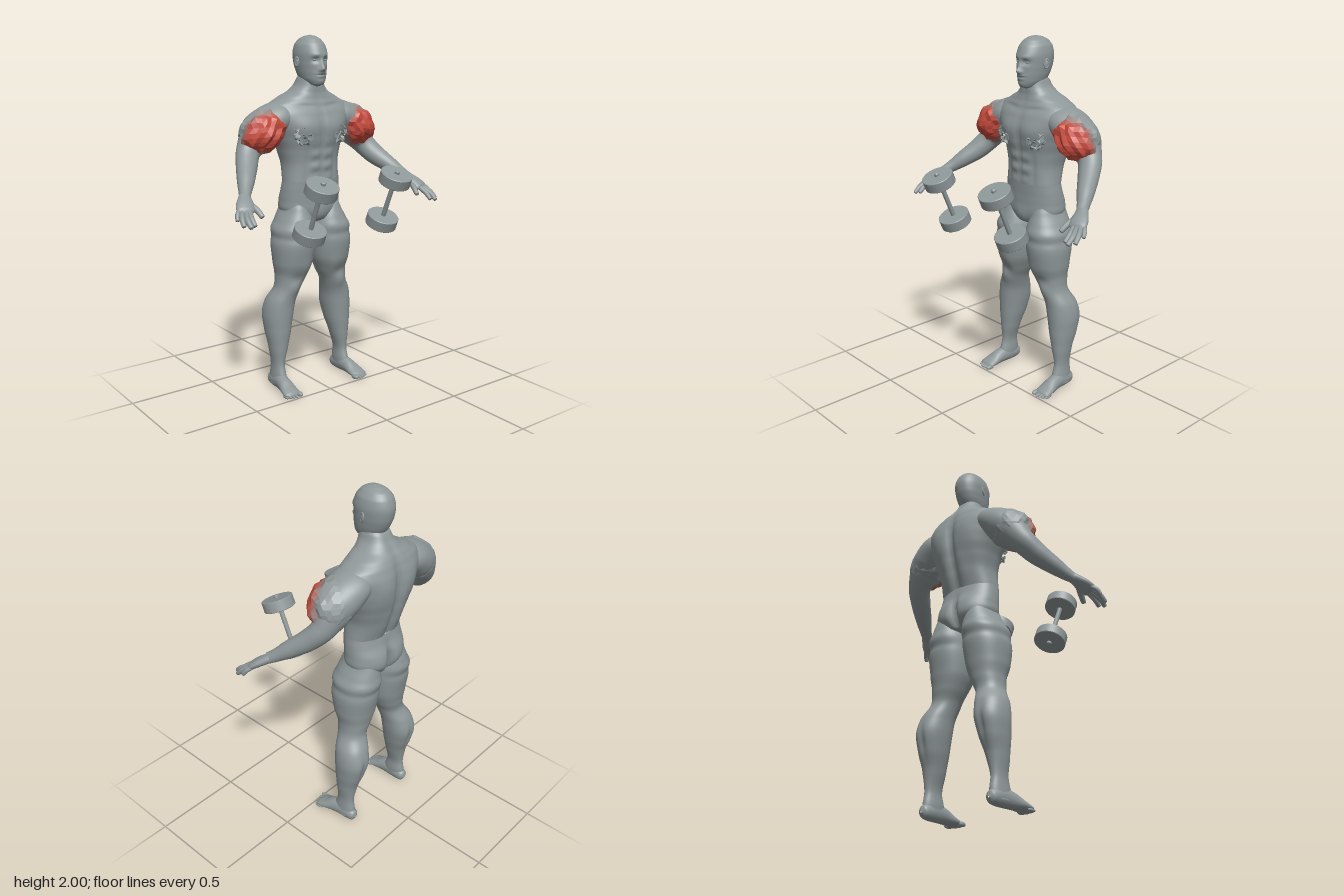
import * as THREE from 'three';
import { mergeGeometries, toCreasedNormals } from 'three/addons/utils/BufferGeometryUtils.js';

const V = (x, y, z) => new THREE.Vector3(x, y, z);
const gauss = (d, s) => Math.exp(-(d * d) / (2 * s * s));
const clay = new THREE.MeshStandardMaterial({ name: 'clay grey', color: 0x8f9899 });
const dusty = new THREE.MeshStandardMaterial({ name: 'dusty red', color: 0x9a7f7c });
const dull = new THREE.MeshStandardMaterial({ name: 'dull red', color: 0xb0655b });
const red = new THREE.MeshStandardMaterial({ name: 'muscle red', color: 0xc84c3e });

function seeded(s) {
  return () => (s = (s * 16807) % 2147483647) / 2147483647;
}

// Smooth skin over elliptical stations [x, y, z, a, b]; fixed rings lie flat (a along x, b along z)
function loft(stations, { side = null, rings = 48, segs = 32, power = 2, sculpt = null } = {}) {
  const path = new THREE.CatmullRomCurve3(stations.map(s => V(s[0], s[1], s[2])), false, 'centripetal');
  const radii = new THREE.CatmullRomCurve3(stations.map(s => V(s[3], s[4], 0)), false, 'catmullrom', 0.4);
  const pos = [], idx = [], bend = v => Math.sign(v) * Math.abs(v) ** (2 / power);
  for (let i = 0; i <= rings; i++) {
    const t = i / rings, c = path.getPoint(t), r = radii.getPoint(t);
    let s = V(1, 0, 0), o = V(0, 0, 1);
    if (side) {
      const tan = path.getTangent(t);
      s = side.clone().addScaledVector(tan, -side.dot(tan)).normalize();
      o = s.clone().cross(tan);
    }
    for (let j = 0; j < segs; j++) {
      const a = (j / segs) * Math.PI * 2;
      const p = c.clone().addScaledVector(s, bend(Math.cos(a)) * Math.max(r.x, 0.001))
        .addScaledVector(o, bend(Math.sin(a)) * Math.max(r.y, 0.001));
      if (sculpt) sculpt(p, Math.sin(a), Math.cos(a));
      pos.push(p.x, p.y, p.z);
      if (i < rings) {
        const k = (j + 1) % segs, q = i * segs;
        idx.push(q + j, q + segs + j, q + k, q + k, q + segs + j, q + segs + k);
      }
    }
  }
  const g = new THREE.BufferGeometry();
  g.setAttribute('position', new THREE.Float32BufferAttribute(pos, 3));
  g.setIndex(idx);
  g.computeVertexNormals();
  return g;
}

// Row [y, x0, x1, zBack, zFront] to station
const row = ([y, x0, x1, zb, zf]) => [(x0 + x1) / 2, y, (zb + zf) / 2, (x1 - x0) / 2, (zf - zb) / 2];
const midRow = ([y, w, zb, zf]) => row([y, -w, w, zb, zf]);

function mirrored(geo) {
  const g = geo.clone().scale(-1, 1, 1);
  const src = g.index ? Array.from(g.index.array) : Array.from({ length: g.attributes.position.count }, (_, i) => i);
  for (let i = 0; i < src.length; i += 3) [src[i + 1], src[i + 2]] = [src[i + 2], src[i + 1]];
  g.setIndex(src);
  return g;
}

// Swollen upper-arm muscle: crumpled facets, reddest on the outer front
function tornMuscle() {
  const g = new THREE.IcosahedronGeometry(1, 4), p = g.attributes.position, v = V(0, 0, 0);
  for (let i = 0; i < p.count; i++) {
    v.fromBufferAttribute(p, i);
    const n = Math.sin(v.x * 7 + v.y * 4) * Math.sin(v.y * 8 - v.z * 5) + 0.5 * Math.sin(v.z * 12 + v.x * 9 + v.y * 7);
    v.multiplyScalar(1 + n * (v.z > -0.2 ? 0.07 : 0.025));
    p.setXYZ(i, v.x, v.y, v.z);
  }
  const bins = [[], [], [], []];
  for (let i = 0; i < p.count; i += 3) {
    const mean = get => (get(i) + get(i + 1) + get(i + 2)) / 3;
    const f = 0.9 * mean(k => p.getZ(k)) + 0.28 * mean(k => p.getX(k));
    bins[f > 0.52 ? 3 : f > 0.36 ? 2 : f > 0.2 ? 1 : 0].push(i, i + 1, i + 2);
  }
  g.setIndex(bins.flat());
  let start = 0;
  g.clearGroups();
  bins.forEach((b, k) => { g.addGroup(start, b.length, k); start += b.length; });
  g.scale(0.143, 0.112, 0.122).rotateZ(-0.6).translate(0.305, 1.495, -0.203);
  const flat = g.toNonIndexed();
  flat.computeVertexNormals();
  return flat;
}

// Ragged shards on the chest
function chestShards() {
  const rnd = seeded(77), bits = [];
  for (let i = 0; i < 24; i++) {
    const a = rnd() * 6.28, r = 0.05 * Math.sqrt(rnd()), x = 0.128 + Math.cos(a) * r;
    bits.push(new THREE.TetrahedronGeometry(0.011 + rnd() * 0.01).rotateX(rnd() * 6).rotateY(rnd() * 6)
      .translate(x, 1.465 + Math.sin(a) * r, -0.058 - x * x * 1.2));
  }
  return mergeGeometries(bits);
}

export function createModel() {
  const model = new THREE.Group();
  const add = (name, geo, mat = clay) => {
    const m = new THREE.Mesh(geo, mat);
    m.name = name;
    model.add(m);
    return m;
  };
  const pair = (name, geo, mat = clay) => {
    add('left' + name, geo, mat);
    add('right' + name, mirrored(geo), mat);
  };

  // Torso and neck, with chest, stomach, spine and shoulder-blade relief
  const torso = [[1.205, .173, -.294, -.083], [1.3, .168, -.325, -.08], [1.38, .185, -.35, -.075], [1.45, .21, -.364, -.068],
    [1.52, .24, -.365, -.065], [1.58, .265, -.36, -.08], [1.63, .238, -.349, -.1], [1.665, .178, -.335, -.113],
    [1.7, .11, -.31, -.118], [1.735, .079, -.286, -.118], [1.765, .068, -.27, -.122], [1.79, .055, -.245, -.14]];
  add('torso', loft(torso.map(midRow), {
    rings: 90, segs: 96, power: 2.35, sculpt: (p, f) => {
      const x = Math.abs(p.x), y = p.y;
      if (f > 0) {
        p.z += f * (0.014 * gauss(x - 0.1, 0.055) * gauss(y - 1.49, 0.05) - 0.008 * gauss(x, 0.008) * gauss(y - 1.42, 0.16));
        const abs = gauss(y - 1.3, 0.07) * gauss(x - 0.04, 0.022);
        p.z += f * abs * 0.005 * Math.cos((y - 1.22) * 2 * Math.PI / 0.07) - f * 0.007 * gauss(x - 0.09, 0.012) * gauss(y - 1.29, 0.08);
        p.z -= f * 0.006 * gauss(y - 1.615 - x * 0.1, 0.01) * gauss(x - 0.1, 0.06);
      } else {
        p.z -= f * (0.026 * gauss(x, 0.016) * gauss(y - 1.42, 0.16));
        p.z += f * (0.016 * gauss(x - 0.1, 0.05) * gauss(y - 1.53, 0.07) + 0.008 * gauss(x - 0.06, 0.025) * gauss(y - 1.3, 0.07));
      }
    } }));

  // Pelvis with parted buttocks
  const pelvis = [[.955, .02, -.24, -.18], [.985, .1, -.3, -.11], [1.04, .18, -.325, -.09], [1.1, .184, -.325, -.087],
    [1.16, .18, -.305, -.085], [1.21, .174, -.294, -.082]];
  add('pelvis', loft(pelvis.map(midRow), {
    segs: 80, power: 2.3, sculpt: (p, f) => {
      const x = Math.abs(p.x);
      if (f < 0) p.z -= f * gauss(p.y - 1.04, 0.06) * (0.045 * gauss(x, 0.014) - 0.012 * gauss(x - 0.09, 0.05));
      else p.z += f * 0.008 * gauss(x, 0.03) * gauss(p.y - 1.02, 0.035);
    } }));

  // Head with brow, sockets, nose, lips and chin
  const head = [[1.726, .02, -.17, -.115], [1.738, .045, -.215, -.088], [1.77, .065, -.255, -.081], [1.81, .075, -.28, -.079],
    [1.85, .081, -.295, -.078], [1.9, .084, -.302, -.077], [1.945, .076, -.291, -.093], [1.975, .056, -.268, -.118],
    [1.993, .03, -.23, -.15], [2, .002, -.19, -.185]];
  add('head', loft(head.map(midRow), {
    rings: 110, segs: 128, power: 2.1, sculpt: (p, f) => {
      if (f <= 0) return;
      const x = Math.abs(p.x), y = p.y;
      p.z += f * (0.005 * gauss(y - 1.892, 0.009) * gauss(x - 0.033, 0.02) - 0.012 * gauss(x - 0.033, 0.014) * gauss(y - 1.868, 0.012));
      p.z += f * (0.023 * gauss(x, 0.01) * gauss(y - 1.82, 0.012) + 0.012 * gauss(x, 0.009) * gauss(y - 1.848, 0.018)
        + 0.007 * gauss(x - 0.014, 0.006) * gauss(y - 1.814, 0.007));
      p.z += f * gauss(x, 0.02) * (0.006 * gauss(y - 1.796, 0.006) + 0.005 * gauss(y - 1.779, 0.006) - 0.004 * gauss(y - 1.788, 0.003)
        + 0.004 * gauss(y - 1.752, 0.01));
    } }));
  pair('Eye', new THREE.SphereGeometry(0.011, 16, 12).scale(1.15, 0.5, 0.7).translate(0.033, 1.867, -0.098));
  pair('Ear', mergeGeometries([
    new THREE.TorusGeometry(0.017, 0.005, 8, 20).scale(0.75, 1.3, 1),
    new THREE.SphereGeometry(0.016, 14, 10).scale(0.75, 1.25, 0.35),
  ]).rotateY(1.2).rotateX(-0.12).translate(0.087, 1.858, -0.188));

  // Legs
  const leg = [[.03, .194, .264, -.274, -.13], [.08, .191, .26, -.273, -.14], [.15, .192, .257, -.264, -.158], [.25, .165, .27, -.28, -.15],
    [.35, .138, .283, -.315, -.143], [.44, .12, .288, -.335, -.138], [.52, .108, .275, -.318, -.133], [.6, .085, .235, -.28, -.122],
    [.67, .05, .228, -.288, -.105], [.75, .018, .24, -.303, -.075], [.85, .004, .246, -.32, -.058], [.93, .003, .236, -.328, -.06],
    [.985, .012, .212, -.324, -.073], [1.05, .04, .18, -.31, -.096], [1.1, .07, .16, -.28, -.12]];
  pair('Leg', loft(leg.map(row), {
    rings: 110, segs: 56, power: 2.15, sculpt: (p, f, side) => {
      const ridge = 0.005 * (gauss(p.y - 0.945, 0.02) - gauss(p.y - 0.895, 0.014));
      p.z += ridge * f;
      if (side > 0) p.x += ridge * side;
      if (f > 0) p.z += f * (0.01 * gauss(p.y - 0.6, 0.03) * gauss(p.x - 0.16, 0.03) + 0.008 * gauss(p.y - 0.7, 0.04) * gauss(p.x - 0.09, 0.03)
        - 0.007 * gauss(p.y - 0.66, 0.02) * gauss(p.x - 0.15, 0.03));
      else p.z -= f * 0.012 * gauss(p.x - 0.205, 0.012) * gauss(p.y - 0.4, 0.06);
    } }));

  // Feet, flat below, and toes
  pair('Foot', loft([[.226, .035, -.29, .004, .004], [.226, .038, -.275, .028, .032], [.227, .045, -.235, .035, .045],
    [.229, .048, -.18, .037, .048], [.233, .042, -.13, .04, .042], [.238, .027, -.075, .048, .027], [.24, .018, -.035, .048, .017],
    [.24, .015, -.022, .03, .006]], { side: V(1, 0, 0), sculpt: p => { p.y = Math.max(p.y, 0); } }));
  for (let i = 0; i < 5; i++) {
    const r = i ? 0.0105 - i * 0.0004 : 0.015;
    pair('Toe' + (i + 1), new THREE.SphereGeometry(1, 16, 12).scale(r, r * 0.95, 0.028)
      .translate([.201, .227, .247, .265, .281][i], r * 0.95, -0.026 - [0, 0, .004, .01, .018][i]));
  }

  // Arms
  pair('Arm', loft([[.1, 1.58, -.22, .07, .05], [.2, 1.562, -.222, .118, .085], [.29, 1.505, -.222, .112, .1],
    [.35, 1.44, -.222, .085, .088], [.392, 1.385, -.212, .062, .068], [.435, 1.32, -.158, .055, .06], [.485, 1.262, -.085, .047, .048],
    [.53, 1.213, -.02, .034, .034], [.553, 1.192, .015, .03, .026]], { side: V(0, 0, 1), rings: 80, segs: 40 }));
  pair('UpperArmMuscle', tornMuscle(), [clay, dusty, dull, red]);
  pair('ChestShards', chestShards());

  // Hands: palm, four fingers and a thumb
  pair('Palm', loft([[.54, 1.205, -.005, .027, .025], [.558, 1.185, .022, .036, .025], [.575, 1.163, .055, .047, .024],
    [.592, 1.141, .085, .047, .02], [.6, 1.13, .102, .03, .006]], { side: V(-.75, -.25, .5), rings: 24 }));
  const fingers = [[[.617, 1.145, .066], [.64, 1.125, .088], [.65, 1.098, .105]], [[.611, 1.138, .082], [.634, 1.11, .122], [.643, 1.077, .155]],
    [[.595, 1.132, .096], [.617, 1.102, .147], [.618, 1.072, .184]], [[.577, 1.132, .1], [.589, 1.104, .14], [.59, 1.076, .172]],
    [[.55, 1.165, .045], [.532, 1.138, .095], [.522, 1.106, .132]]];
  fingers.forEach(([a, b, c], i) => {
    const r = [.0125, .014, .0145, .014, .016][i], tip = c.map((v, k) => v + (c[k] - b[k]) * 0.06);
    pair(i < 4 ? 'Finger' + (i + 1) : 'Thumb', loft([[...a, r, r], [...b, r, r], [...c, r * .8, r * .75], [...tip, .001, .001]],
      { side: V(-.8, 0, .5), rings: 20, segs: 12 }));
  });

  // Dumbbells
  const half = [[.013, .103], [.084, .103], [.087, .106], [.087, .161], [.084, .164], [.014, .164], [.014, .176], [.009, .181], [.0005, .182]];
  const profile = [...half.map(([r, y]) => [r, -y]).reverse(), ...half].map(([r, y]) => new THREE.Vector2(r, y));
  const bell = toCreasedNormals(new THREE.LatheGeometry(profile, 40), 0.6);
  [['leftDumbbell', .217, 1.128, .235], ['rightDumbbell', -.263, 1.115, .224]].forEach(([name, x, y, z]) => {
    const m = add(name, bell);
    m.position.set(x, y, z);
    m.rotation.x = 0.41;
  });
  return model;
}
